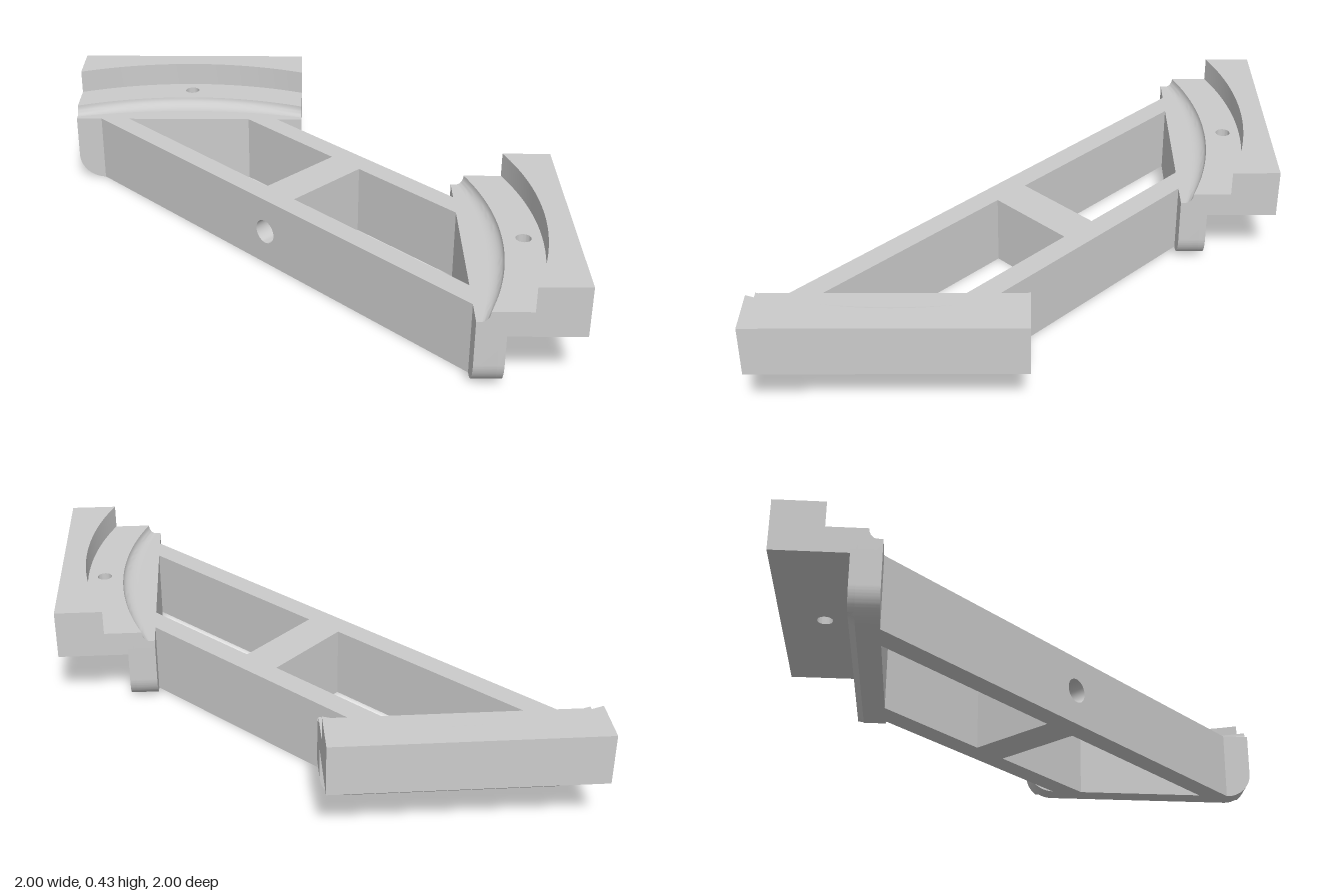
import * as THREE from 'three';
import { toCreasedNormals } from 'three/addons/utils/BufferGeometryUtils.js';

const material = new THREE.MeshStandardMaterial({ color: 0xcccccc });
const H = 0.29; // height of the frame

function add(group, name, geometry) {
  const mesh = new THREE.Mesh(toCreasedNormals(geometry, 0.5), material);
  mesh.name = name;
  group.add(mesh);
}

function extrude(shape, depth) {
  return new THREE.ExtrudeGeometry(shape, { depth, bevelEnabled: false, curveSegments: 16 });
}

function polygon(points) {
  return new THREE.Shape(points.map(([x, y]) => new THREE.Vector2(x, y)));
}

function withHole(shape, x, y, r) {
  shape.holes.push(new THREE.Path().absarc(x, y, r, 0, Math.PI * 2, true));
  return shape;
}

// Shallow arc across a clamp block, furthest out at u = 0
const R = 1.363;
const arc = (u, mid) => mid - R + Math.sqrt(R * R - u * u);

// Plan outline from the arc (or a straight edge) to the outer face
function planShape(mid, curved) {
  const points = [];
  const n = curved ? 32 : 1;
  for (let i = 0; i <= n; i++) {
    const u = i / n - 0.5;
    points.push([u, curved ? arc(u, mid) : mid]);
  }
  return polygon([...points, [0.5, 1], [-0.5, 1]]);
}

function layer(shape, y0, y1) {
  return extrude(shape, y1 - y0).rotateX(-Math.PI / 2).translate(0, y0, 0);
}

// Concave fillet rising from the floor to the curved lip
function filletGeometry() {
  const N = 32, M = 8, pos = [], index = [];
  for (let i = -1; i <= N + 1; i++) {
    const u = THREE.MathUtils.clamp(i / N, 0, 1) - 0.5;
    const cap = i < 0 || i > N;
    const b = arc(u, 0.755);
    const w = 0.03 + 0.03 * (1 - 4 * u * u);
    for (let j = 0; j <= M; j++) {
      const t = (j / M) * Math.PI / 2;
      if (cap) pos.push(u, H, -b);
      else pos.push(u, H + 0.04 * (1 - Math.cos(t)), -(b - w + w * Math.sin(t)));
    }
  }
  for (let i = 0; i < N + 2; i++) {
    for (let j = 0; j < M; j++) {
      const a = i * (M + 1) + j, c = a + M + 1;
      index.push(a, c, a + 1, c, c + 1, a + 1);
    }
  }
  const g = new THREE.BufferGeometry();
  g.setAttribute('position', new THREE.Float32BufferAttribute(pos, 3));
  g.setIndex(index);
  return g;
}

// One end block: outward is -z, length along x
function createBlock(name) {
  const block = new THREE.Group();
  block.name = name;

  // Hanging wall with rounded lower corners and a chamfered outer edge
  const r = 0.11;
  const wall = new THREE.Shape();
  wall.moveTo(-0.5, H).lineTo(-0.5, r);
  wall.absarc(-0.5 + r, r, r, Math.PI, Math.PI * 1.5, false);
  wall.lineTo(0.5 - r, 0);
  wall.absarc(0.5 - r, r, r, Math.PI * 1.5, Math.PI * 2, false);
  wall.lineTo(0.5, H);
  add(block, 'wall', extrude(wall, 0.085).translate(0, 0, -0.695));
  const chamfer = extrude(wall, 0.025).translate(0, 0, -0.72);
  const p = chamfer.attributes.position;
  for (let i = 0; i < p.count; i++) {
    if (p.getZ(i) < -0.71) p.setY(i, Math.max(p.getY(i), 0.025));
  }
  add(block, 'wallChamfer', chamfer);

  // Ledge with screw hole, and the raised curved stop
  add(block, 'ledgeBase', layer(withHole(planShape(0.72, false), 0, 0.835, 0.03), 0.23, H));
  add(block, 'ledgeTop', layer(withHole(planShape(0.755, true), 0, 0.835, 0.03), H, 0.33));
  add(block, 'curvedStop', layer(planShape(0.905, true), 0.33, 0.43));
  add(block, 'lipFillet', filletGeometry());
  return block;
}

function rect(halfLength) {
  return polygon([[-halfLength, 0], [halfLength, 0], [halfLength, H], [-halfLength, H]]);
}

// Long beam whose ends are mitred at 45 degrees against the blocks
function beamGeometry(shape, z0, z1) {
  const g = extrude(shape, z1 - z0).translate(0, 0, z0);
  const p = g.attributes.position;
  for (let i = 0; i < p.count; i++) {
    const x = p.getX(i);
    if (Math.abs(x) > 0.4) p.setX(i, Math.sign(x) * (0.8627 + p.getZ(i)));
  }
  return g;
}

export function createModel() {
  const model = new THREE.Group();
  model.name = 'cornerBracket';

  const backBlock = createBlock('backBlock');
  backBlock.position.x = -0.5;
  const leftBlock = createBlock('leftBlock');
  leftBlock.rotation.y = -Math.PI / 2;
  leftBlock.position.z = 0.5;

  // Diagonal frame: two beams, a cross member and a blind hole
  const frame = new THREE.Group();
  frame.name = 'diagonalFrame';
  frame.rotation.y = -Math.PI / 4;
  add(frame, 'frontBeam', beamGeometry(withHole(rect(1), 0, 0.145, 0.05), 0.11, 0.198));
  add(frame, 'backBeam', beamGeometry(rect(1), -0.354, -0.265));
  add(frame, 'crossMemberFront', extrude(withHole(rect(0.078), 0, 0.145, 0.05), 0.13).translate(0, 0, -0.02));
  add(frame, 'crossMemberBack', extrude(rect(0.078), 0.245).translate(0, 0, -0.265));

  model.add(backBlock, leftBlock, frame);
  return model;
}
